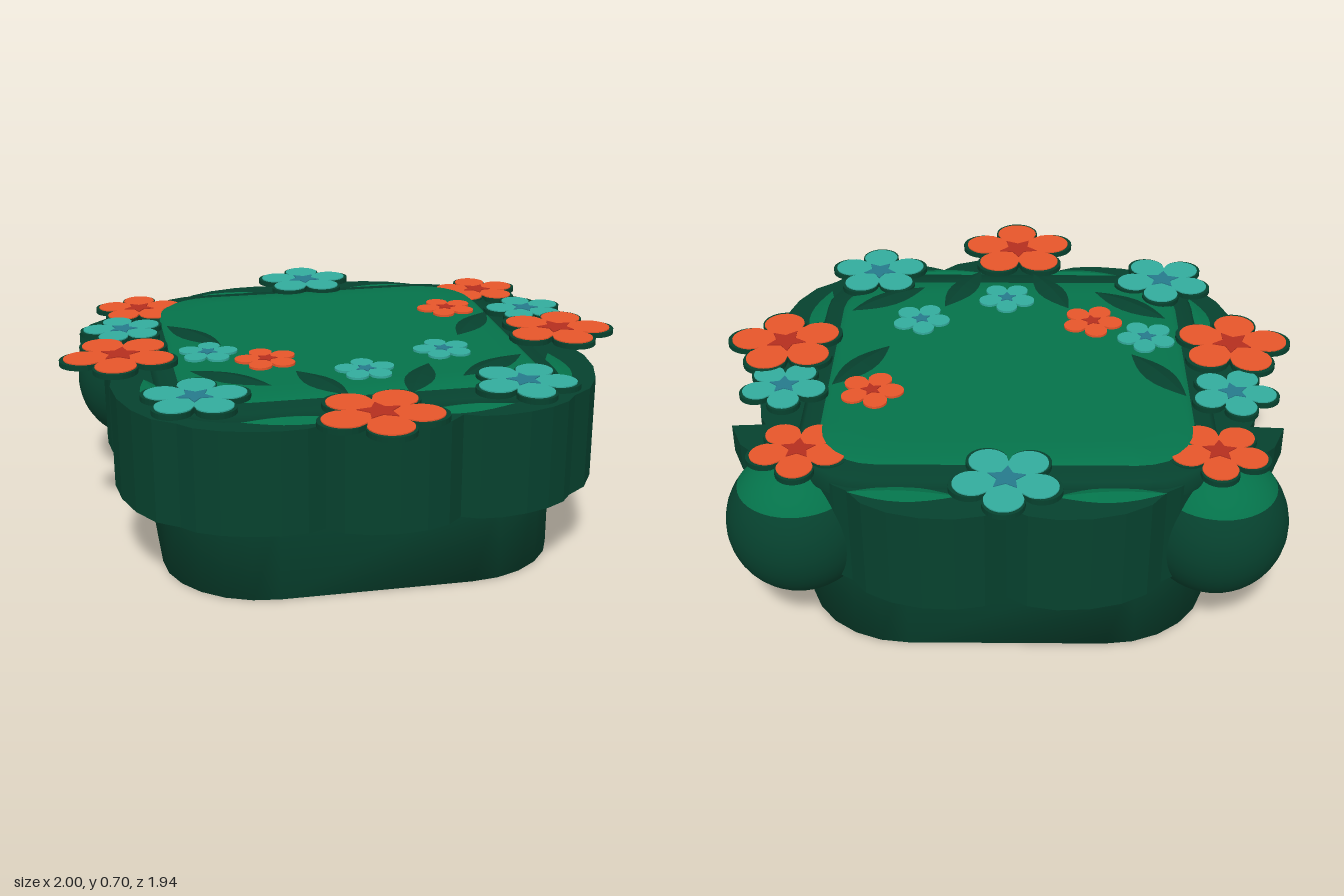
import * as THREE from 'three';

const mat = (name, color) => {
  const m = new THREE.MeshStandardMaterial({ color });
  m.name = name;
  return m;
};

export function createModel() {
  const green = mat('leaf green', 0x05724a);
  const dark = mat('dark green', 0x06412e);
  const orange = mat('orange', 0xe6552a);
  const rust = mat('rust red', 0xb42e1e);
  const teal = mat('teal', 0x33ab9d);
  const blue = mat('deep teal', 0x267a8c);

  const model = new THREE.Group();
  const add = (name, geometry, material, parent = model) => {
    const mesh = new THREE.Mesh(geometry, material);
    mesh.name = name;
    parent.add(mesh);
    return mesh;
  };

  // Upright slab from an outline drawn in (x, -z)
  const slab = (shape, y, depth, segments = 6) =>
    new THREE.ExtrudeGeometry(shape, { depth, bevelEnabled: false, curveSegments: segments })
      .rotateX(-Math.PI / 2).translate(0, y, 0);

  // Loft through rounded rectangles, each row being [y, half x, half z, corner radius]
  const loft = (rows, cz = -0.08, steps = 6) => {
    const pos = [], index = [], n = 4 * (steps + 1);
    for (const [y, hx, hz, r] of rows) {
      for (let c = 0; c < 4; c++) {
        const sx = c === 0 || c === 3 ? 1 : -1, sz = c < 2 ? -1 : 1;
        for (let i = 0; i <= steps; i++) {
          const a = (c + i / steps) * Math.PI / 2;
          pos.push(sx * (hx - r) + r * Math.cos(a), y, cz + sz * (hz - r) - r * Math.sin(a));
        }
      }
    }
    for (let i = 0; i < rows.length - 1; i++) {
      for (let j = 0; j < n; j++) {
        const a = i * n + j, b = i * n + (j + 1) % n;
        index.push(a, b, b + n, a, b + n, a + n);
      }
    }
    const g = new THREE.BufferGeometry();
    g.setAttribute('position', new THREE.Float32BufferAttribute(pos, 3));
    g.setIndex(index);
    g.computeVertexNormals();
    return g;
  };

  // Rounded box body with a hollowed underside and a soft top pad
  add('underside', loft([[0.13, 0, 0, 0], [0.11, 0.35, 0.35, 0.18],
    [0.035, 0.55, 0.55, 0.28], [0, 0.683, 0.683, 0.36]]), green);
  add('base', loft([[0.05, 0.55, 0.55, 0.28], [0, 0.69, 0.69, 0.36], [0.3, 0.69, 0.69, 0.36]]), dark);
  add('padRim', loft([[0.6, 0.69, 0.69, 0.25], [0.64, 0.69, 0.69, 0.25],
    [0.662, 0.67, 0.68, 0.24], [0.67, 0.615, 0.6, 0.2]]), dark);
  add('topPad', loft([[0.665, 0.62, 0.605, 0.2], [0.682, 0.595, 0.58, 0.19],
    [0.688, 0.5, 0.49, 0.16], [0.69, 0, 0, 0]]), green);

  // Scalloped skirt: seam points [x, z, bulge of the lobe that follows]
  const seams = [
    [-0.19, 0.68, 0.09], [0.26, 0.68, 0.07], [0.67, 0.58, 0.11], [0.78, 0, 0.05],
    [0.8, -0.42, 0.03], [0.5, -0.78, 0.1], [0, -0.86, 0.1], [-0.5, -0.78, 0.03],
    [-0.8, -0.42, 0.05], [-0.78, 0, 0.11], [-0.65, 0.58, 0.07],
  ];
  const outline = new THREE.Shape();
  outline.moveTo(seams[0][0], -seams[0][1]);
  seams.forEach(([x, z, bulge], i) => {
    const [x2, z2] = seams[(i + 1) % seams.length];
    const dx = x2 - x, dz = z2 - z, k = 1.33 * bulge / Math.hypot(dx, dz);
    const ox = -dz * k, oz = dx * k;
    outline.bezierCurveTo(x + dx * 0.15 + ox, -(z + dz * 0.15 + oz),
      x + dx * 0.85 + ox, -(z + dz * 0.85 + oz), x2, -z2);
  });
  add('scallopedSkirt', slab(outline, 0.28, 0.36), dark);

  // Round side balls with a lighter crown, and a wedge tucked in front of each
  const crown = 0.93;
  for (const s of [-1, 1]) {
    const ball = new THREE.Group();
    ball.name = s > 0 ? 'leftBall' : 'rightBall';
    ball.position.set(s * 0.685, 0.397, -0.6);
    model.add(ball);
    add('ballCrown', new THREE.SphereGeometry(0.242, 40, 10, 0, Math.PI * 2, 0, crown), green, ball);
    add('ballBody', new THREE.SphereGeometry(0.242, 40, 22, 0, Math.PI * 2, crown, Math.PI - crown), dark, ball);
    const wedge = new THREE.Shape([[0.6, -0.6], [0.8, -0.6], [0.87, -0.53], [0.915, -0.42], [0.62, -0.4]]
      .map(([x, z]) => new THREE.Vector2(s * x, -z)));
    add('ballWedge', slab(wedge, 0.54, 0.1), dark);
  }

  // Pointed leaf with a raised middle rib, from (x1, z1) to (x2, z2)
  const leaf = (name, x1, z1, x2, z2, width, y, material) => {
    const len = Math.hypot(x2 - x1, z2 - z1), steps = 8, pos = [], index = [];
    for (let i = 0; i <= steps; i++) {
      const t = i / steps, w = width * Math.sin(Math.PI * t), h = 0.014 * Math.sin(Math.PI * t);
      pos.push((t - 0.5) * len, 0, -w, (t - 0.5) * len, h, 0, (t - 0.5) * len, 0, w);
    }
    for (let i = 0; i < steps; i++) {
      for (const a of [i * 3, i * 3 + 1]) index.push(a, a + 1, a + 4, a, a + 4, a + 3);
    }
    const g = new THREE.BufferGeometry();
    g.setAttribute('position', new THREE.Float32BufferAttribute(pos, 3));
    g.setIndex(index);
    const flat = g.toNonIndexed();
    flat.computeVertexNormals();
    const mesh = add(name, flat, material);
    mesh.position.set((x1 + x2) / 2, y, (z1 + z2) / 2);
    mesh.rotation.y = -Math.atan2(z2 - z1, x2 - x1);
  };
  for (const [x1, z1, x2, z2] of [
    [-0.6, -0.3, -0.43, -0.03], [0.6, -0.24, 0.42, 0.02], [-0.57, 0.22, -0.32, 0.42],
    [0.58, 0.27, 0.32, 0.45], [-0.22, 0.29, -0.09, 0.56], [0.24, 0.3, 0.11, 0.58],
  ]) leaf('padLeaf', x1, z1, x2, z2, 0.05, 0.688, dark);
  for (const [x1, z1, x2, z2] of [
    [-0.5, -0.79, -0.15, -0.81], [0.15, -0.81, 0.5, -0.79], [-0.45, 0.62, -0.1, 0.65],
    [0.1, 0.65, 0.45, 0.62], [0.72, 0.15, 0.68, 0.5], [-0.72, 0.15, -0.68, 0.45],
  ]) leaf('skirtLeaf', x1, z1, x2, z2, 0.04, 0.643, green);

  // Five-petal flowers: dark backing, coloured face, star centre
  const petals = (r) => new THREE.Shape(Array.from({ length: 80 }, (_, i) => {
    const a = i / 80 * Math.PI * 2;
    const d = r * (0.52 + 0.48 * Math.abs(Math.cos(2.5 * a)) ** 0.6);
    return new THREE.Vector2(d * Math.cos(a), d * Math.sin(a));
  }));
  const star = (r) => new THREE.Shape(Array.from({ length: 10 }, (_, i) => {
    const a = i * Math.PI / 5, d = i % 2 ? r : r * 0.5;
    return new THREE.Vector2(d * Math.cos(a), d * Math.sin(a));
  }));
  const flower = (x, z, r, degrees, y, face, centre, backed = true) => {
    const group = new THREE.Group();
    group.name = 'flower';
    if (backed) add('flowerBacking', slab(petals(r), 0, 0.018), dark, group);
    add('petals', slab(petals(backed ? r * 0.93 : r), 0.014, 0.008), face, group);
    add('flowerCentre', slab(star(r * 0.34), 0.02, 0.005), centre, group);
    group.position.set(x, y, z);
    group.rotation.y = -degrees * Math.PI / 180;
    model.add(group);
  };
  // Large flowers: x, z, radius, direction of one petal, height
  for (const f of [[-0.68, -0.6, 0.17, -86, 0.652], [0.67, -0.6, 0.17, -90, 0.652],
    [-0.79, 0.03, 0.21, 172, 0.678], [0.79, 0.03, 0.21, 8, 0.678], [-0.03, 0.75, 0.22, 88, 0.678],
  ]) flower(...f, orange, rust);
  for (const f of [[0, -0.79, 0.185, -86, 0.678], [-0.76, -0.28, 0.155, -100, 0.672],
    [0.76, -0.25, 0.155, -95, 0.672], [-0.58, 0.5, 0.185, -10, 0.678], [0.5, 0.56, 0.185, 88, 0.678],
  ]) flower(...f, teal, blue);
  // Small flowers lying on the pad
  for (const f of [[0.46, -0.29, 0.11, -105, 0.68], [-0.3, 0.18, 0.11, -100, 0.68]]) {
    flower(...f, orange, rust, false);
  }
  for (const f of [[-0.49, 0.07, 0.105, -80, 0.68], [0.32, 0.19, 0.105, -100, 0.68],
    [0.01, 0.35, 0.105, -90, 0.68]]) flower(...f, teal, blue, false);

  return model;
}
